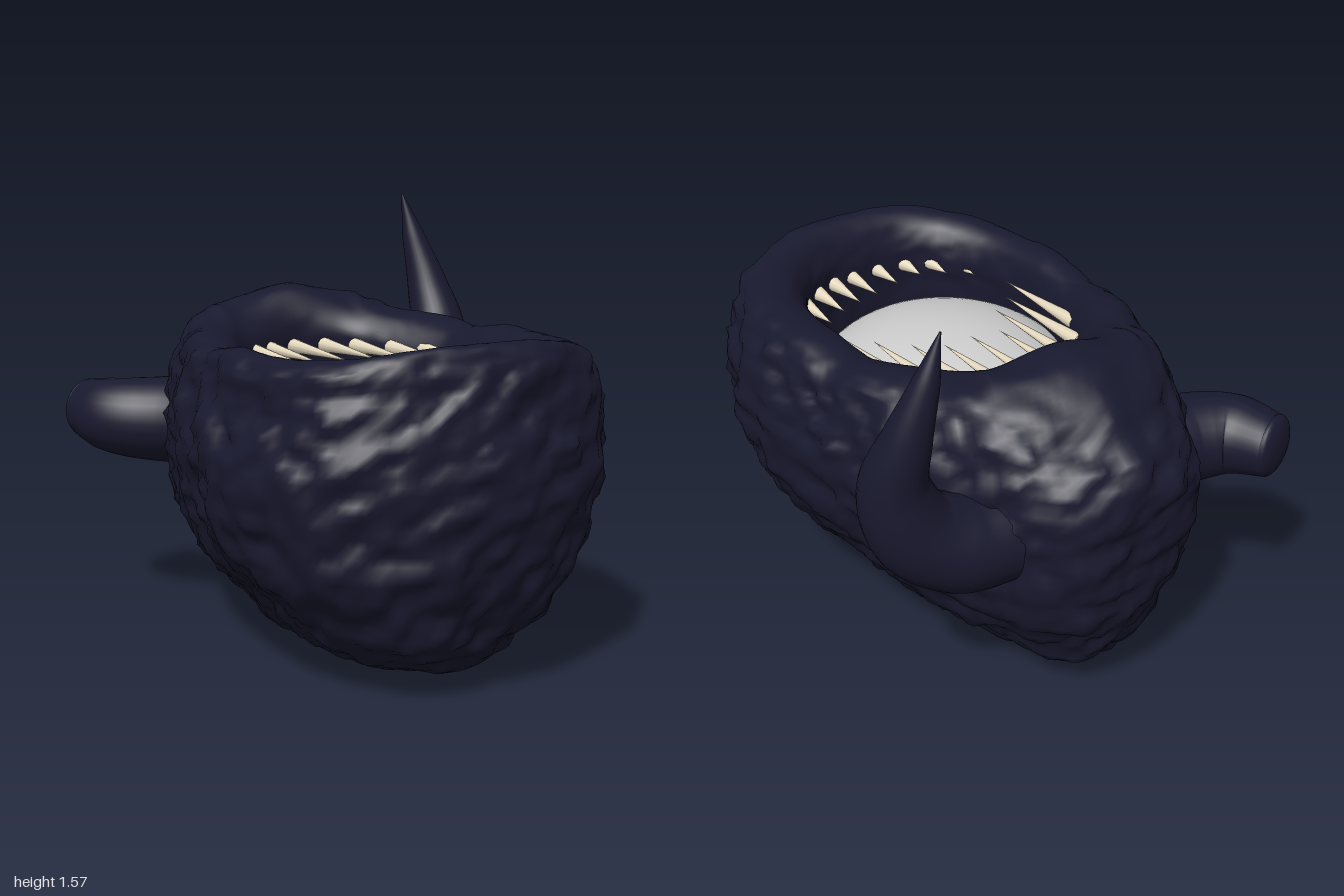
import * as THREE from 'three';

const V = (x, y, z) => new THREE.Vector3(x, y, z);
const { smoothstep, lerp, clamp } = THREE.MathUtils;

// Seeded value noise in the range -1..1
function hash(x, y, z) {
  let h = Math.imul(x, 374761393) ^ Math.imul(y, 668265263) ^ Math.imul(z, 1274126177);
  h = Math.imul(h ^ (h >>> 13), 1103515245);
  h = Math.imul(h ^ (h >>> 15), 2246822519);
  return ((h ^ (h >>> 16)) >>> 0) / 2147483648 - 1;
}
function noise(x, y, z) {
  const xi = Math.floor(x), yi = Math.floor(y), zi = Math.floor(z);
  const s = (t) => t * t * (3 - 2 * t);
  const u = s(x - xi), v = s(y - yi), w = s(z - zi);
  let sum = 0;
  for (let i = 0; i < 8; i++) {
    const a = i & 1, b = (i >> 1) & 1, c = i >> 2;
    sum += hash(xi + a, yi + b, zi + c) * (a ? u : 1 - u) * (b ? v : 1 - v) * (c ? w : 1 - w);
  }
  return sum;
}

// Closed egg-shaped outline from half of its points [x, z], front to back
function outline(half, cx) {
  const right = half.map(([x, z]) => V(x, 0, z));
  const left = half.slice(1, -1).reverse().map(([x, z]) => V(-x, 0, z));
  const curve = new THREE.CatmullRomCurve3([...right, ...left], true);
  return (t) => curve.getPointAt(t).add(V(cx, 0, 0));
}

// Height of the top surface: a crest along z that falls off to both sides, more steeply at the back
const crest = [[-1, 1.02], [-0.88, 1.12], [-0.7, 1.235], [-0.5, 1.295], [-0.4, 1.25], [-0.2, 1.17],
  [0, 1.135], [0.2, 1.17], [0.5, 1.16], [0.75, 1.17], [0.88, 1.195], [1, 1.13]];
function topHeight(x, z) {
  let i = 0;
  while (i < crest.length - 2 && z > crest[i + 1][0]) i++;
  const [z0, y0] = crest[i], [z1, y1] = crest[i + 1];
  const t = clamp((z - z0) / (z1 - z0), 0, 1);
  const back = 1 - smoothstep(z, -0.5, -0.15);
  return y0 + (y1 - y0) * t - 0.11 * x * x - back * 0.28 * Math.hypot(x, 0.06);
}

// Rocky shell: lofted from the underside, over the rim, down into the mouth
function bodyGeometry() {
  const outer = outline([[0, 0.965], [0.3, 0.92], [0.54, 0.79], [0.66, 0.5], [0.68, 0.2], [0.655, 0],
    [0.61, -0.25], [0.55, -0.45], [0.44, -0.68], [0.33, -0.87], [0.16, -0.96], [0, -0.975]], -0.01);
  const inner = outline([[0, 0.77], [0.25, 0.71], [0.38, 0.52], [0.42, 0.25], [0.4, 0.05],
    [0.33, -0.15], [0.2, -0.34], [0, -0.41]], -0.05);
  // Outer levels: y, x scale, z scale
  const levels = [[0.005, 0, 0], [0.015, 0.16, 0.5], [0.09, 0.44, 0.78], [0.2, 0.62, 0.87],
    [0.4, 0.85, 0.955], [0.6, 0.96, 0.99], [0.8, 1, 1.01], [0.97, 0.95, 0.985]];
  // Rim levels: share of the way to the mouth outline, drop below the crest
  const rim = [[0.22, 0.045], [0.37, 0.005], [0.6, 0.0], [0.85, 0.035], [1, 0.12], [0.98, 0.24], [0.9, 0.5]];
  const N = 168, M = 96, pos = [], idx = [];
  for (let i = 0; i < N; i++) {
    const o = outer(i / N), n = inner(i / N);
    const pts = levels.map(([y, sx, sz]) => V(o.x * sx - 0.03 * (1 - y), y, o.z * sz));
    for (const [k, drop] of rim) {
      const p = o.clone().lerp(n, k);
      pts.push(p.setY(topHeight(p.x, p.z) - drop));
    }
    const curve = new THREE.CatmullRomCurve3(pts, false, 'centripetal');
    for (let j = 0; j <= M; j++) {
      const u = j / M, p = curve.getPoint(u);
      const { x, y, z } = p;
      const f = (1 - smoothstep(u, 0.52, 0.66) * 0.75) * (0.4 + 0.6 * smoothstep(y, 0, 0.2));
      const d = f * (0.02 * noise(x * 6 + 9, y * 8, z * 6) + 0.022 * noise(x * 13, y * 19 + 5, z * 13)
        + 0.011 * noise(x * 27, y * 33, z * 27 + 3));
      const dir = V(x * 1.3, y - 0.65, z).normalize();
      p.addScaledVector(dir, d);
      pos.push(p.x, Math.max(p.y, 0), p.z);
    }
  }
  const at = (i, j) => (i % N) * (M + 1) + j;
  for (let i = 0; i < N; i++) for (let j = 0; j < M; j++) {
    const a = at(i, j), b = at(i + 1, j), c = at(i + 1, j + 1), d = at(i, j + 1);
    if (j > 0) idx.push(a, b, c);
    idx.push(a, c, d);
  }
  const g = new THREE.BufferGeometry();
  g.setAttribute('position', new THREE.Float32BufferAttribute(pos, 3));
  g.setIndex(idx);
  g.computeVertexNormals();
  return g;
}

// Tube whose radius follows a list spread along its length
function hornGeometry(points, radii) {
  const curve = new THREE.CatmullRomCurve3(points.map((p) => V(...p)));
  const n = 40, sides = 28, g = new THREE.TubeGeometry(curve, n, 1, sides);
  const p = g.attributes.position, v = V(0, 0, 0);
  for (let i = 0; i <= n; i++) {
    const c = curve.getPointAt(i / n), s = (i / n) * (radii.length - 1);
    const k = Math.min(Math.floor(s), radii.length - 2);
    const r = lerp(radii[k], radii[k + 1], s - k);
    for (let j = 0; j <= sides; j++) {
      const q = i * (sides + 1) + j;
      v.fromBufferAttribute(p, q).sub(c).multiplyScalar(r).add(c);
      p.setXYZ(q, v.x, v.y, v.z);
    }
  }
  g.computeVertexNormals();
  return g;
}

export function createModel() {
  const model = new THREE.Group();
  const mat = (name, color) => Object.assign(new THREE.MeshStandardMaterial({ color }), { name });
  const hide = mat('darkHide', 0x19192f);
  hide.side = THREE.DoubleSide;
  const pale = mat('paleGrey', 0xcccccc);
  const ivory = mat('ivory', 0xf0e4c8);
  const add = (name, geometry, material, parent = model) => {
    const m = new THREE.Mesh(geometry, material);
    m.name = name;
    parent.add(m);
    return m;
  };

  add('body', bodyGeometry(), hide);

  // Pale flattened dome filling the mouth
  const dome = add('innerDome', new THREE.SphereGeometry(1, 48, 32), pale);
  dome.position.set(-0.06, 0.73, 0.18);
  dome.scale.set(0.5, 0.28, 0.53);

  // Long curved horn on the left, broken stump on the right
  add('longHorn', hornGeometry(
    [[0.33, 0.71, -0.66], [0.48, 0.72, -0.64], [0.63, 0.81, -0.605], [0.705, 1.0, -0.6], [0.69, 1.2, -0.655],
      [0.645, 1.4, -0.695], [0.6, 1.57, -0.71]],
    [0.165, 0.168, 0.155, 0.13, 0.1, 0.072, 0.043, 0.003]), hide);
  add('brokenHorn', hornGeometry(
    [[-0.36, 0.74, -0.6], [-0.53, 0.75, -0.63], [-0.655, 0.76, -0.71], [-0.71, 0.77, -0.87]],
    [0.17, 0.165, 0.155, 0.14, 0.115]), hide);
  const cap = add('brokenHornCap', new THREE.SphereGeometry(0.115, 28, 16), hide);
  cap.position.set(-0.71, 0.77, -0.87);
  cap.scale.z = 0.35;
  cap.rotation.y = 0.33;

  // Teeth: x, base z, tip z
  const teeth = new THREE.Group();
  teeth.name = 'teeth';
  model.add(teeth);
  const tooth = (name, y) => ([x, base, tip]) => {
    const g = new THREE.ConeGeometry(0.029, Math.abs(tip - base), 10);
    g.rotateX(tip > base ? Math.PI / 2 : -Math.PI / 2);
    add(name, g, ivory, teeth).position.set(x, y, (base + tip) / 2);
  };
  [[-0.42, -0.12, 0.3], [-0.34, -0.24, 0.2], [-0.245, -0.36, 0.14], [-0.16, -0.42, 0], [-0.05, -0.43, 0.03],
    [0.065, -0.38, 0.03], [0.16, -0.31, 0.1], [0.255, -0.2, 0.2], [0.335, -0.1, 0.3]].forEach(tooth('backTooth', 1.025));
  [[-0.42, 0.66, 0.5], [-0.34, 0.71, 0.58], [-0.25, 0.75, 0.63], [-0.135, 0.78, 0.62], [-0.02, 0.78, 0.59],
    [0.07, 0.76, 0.57], [0.16, 0.73, 0.54], [0.25, 0.68, 0.49]].forEach(tooth('frontTooth', 0.97));

  return model;
}
